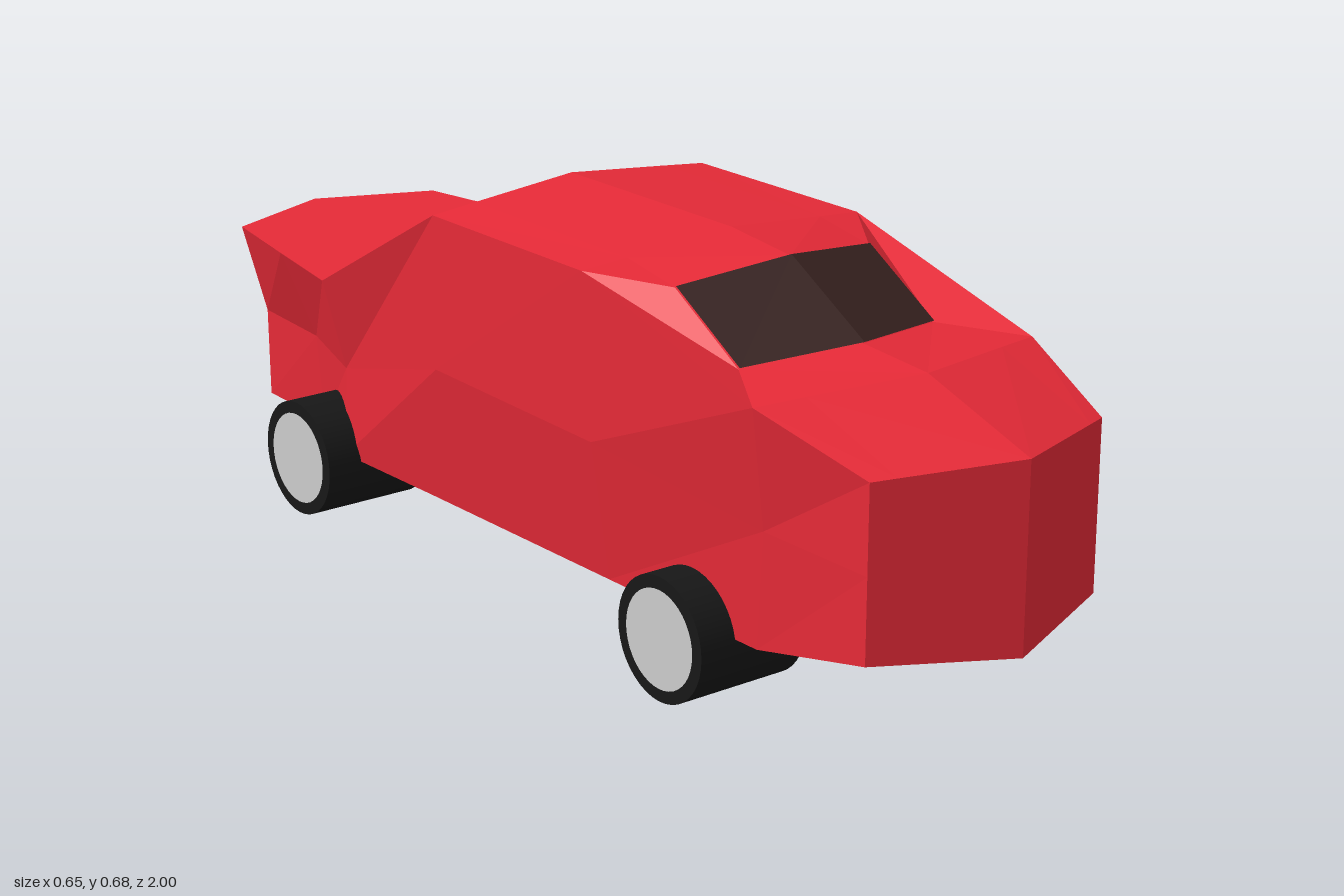
import * as THREE from 'three';

const paint = new THREE.MeshStandardMaterial({ color: 0xe62a37, flatShading: true });
const glass = new THREE.MeshStandardMaterial({ color: 0x36211f, flatShading: true, side: THREE.DoubleSide });
const rubber = new THREE.MeshStandardMaterial({ color: 0x171717 });
const metal = new THREE.MeshStandardMaterial({ color: 0xc8c8c8 });

// Half sections, nose to tail: centre top, upper panel, shoulder, waist, sill, centre bottom
const noseLower = [[0.293, 0.54, 0.7], [0.26, 0.33, 0.69], [0.253, 0.125, 0.67], [0, 0.103, 0.74]];
const cabinLower = [[0.293, 0.655, 0.27], [0.29, 0.37, 0.29], [0.253, 0.122, 0.29], [0, 0.095, 0.28]];
const shieldBase = [[0, 0.565, 0.62], [0.205, 0.547, 0.56]];
const shieldTop = [[0, 0.668, 0.44], [0.205, 0.642, 0.4]];

// The sill ahead of the rear wheel is tucked in by a different amount on each side
const halfSections = (sill) => [
  [[0, 0.48, 1], [0.2, 0.472, 0.926], [0.242, 0.47, 0.91], [0.242, 0.32, 0.91], [0.242, 0.175, 0.91], [0, 0.157, 1]],
  [[0, 0.555, 0.77], [0.205, 0.545, 0.721], ...noseLower],
  [...shieldBase, ...noseLower],
  [...shieldTop, ...cabinLower],
  [[0, 0.683, 0.29], [0.205, 0.663, 0.276], ...cabinLower],
  [[0, 0.684, -0.15], [0.205, 0.664, -0.15], [0.293, 0.655, -0.15], [0.293, 0.38, -0.15], [sill, 0.118, -0.22], [0, 0.085, -0.22]],
  [[0, 0.455, -0.55], [0.205, 0.455, -0.522], [0.293, 0.455, -0.51], [0.247, 0.28, -0.51], [sill, 0.114, -0.51], [0, 0.085, -0.52]],
  [[0, 0.455, -0.78], [0.18, 0.455, -0.73], [0.257, 0.455, -0.71], [0.185, 0.28, -0.71], [0.178, 0.112, -0.7], [0, 0.085, -0.75]],
  [[0, 0.455, -1], [0.16, 0.455, -0.934], [0.22, 0.455, -0.91], [0.17, 0.28, -0.91], [0.168, 0.11, -0.91], [0, 0.085, -1]],
];

// Triangles of one half, mirrored for side -1; collapsed ones are skipped
function halfMesh(name, material, triangles, side) {
  const positions = [];
  for (const points of triangles) {
    const [a, b, c] = points.map(([x, y, z]) => new THREE.Vector3(side * x, y, z));
    if (new THREE.Triangle(a, b, c).getArea() < 1e-6) continue;
    for (const p of side > 0 ? [a, b, c] : [a, c, b]) positions.push(p.x, p.y, p.z);
  }
  const geometry = new THREE.BufferGeometry();
  geometry.setAttribute('position', new THREE.Float32BufferAttribute(positions, 3));
  geometry.computeVertexNormals();
  const mesh = new THREE.Mesh(geometry, material);
  mesh.name = name;
  return mesh;
}

function makeBodyHalf(side, sill) {
  const sections = halfSections(sill);
  const triangles = [];
  // Skin between neighbouring sections
  for (let k = 0; k < sections.length - 1; k++) {
    for (let i = 0; i < 5; i++) {
      const a = sections[k][i], b = sections[k + 1][i];
      const c = sections[k + 1][i + 1], d = sections[k][i + 1];
      triangles.push([a, d, c], [a, c, b]);
    }
  }
  // Nose and tail panels
  const nose = sections[0], tail = sections[sections.length - 1];
  for (let i = 1; i < 5; i++) {
    triangles.push([nose[0], nose[i + 1], nose[i]], [tail[0], tail[i], tail[i + 1]]);
  }
  return halfMesh('bodyHalf', paint, triangles, side);
}

// Folded pane, lifted slightly off the body; corners run front to back
function makeWindow(name, front, back, lift) {
  const raise = ([x, y, z]) => [x, y + 0.003, z + lift];
  const [a, d] = front.map(raise), [b, c] = back.map(raise);
  const pane = new THREE.Group();
  pane.name = name;
  for (const side of [1, -1]) pane.add(halfMesh('paneHalf', glass, [[a, d, b], [d, c, b]], side));
  return pane;
}

function makeWheel(name, side, z) {
  const wheel = new THREE.Group();
  wheel.name = name;
  const tyre = new THREE.Mesh(new THREE.CylinderGeometry(0.107, 0.107, 0.214, 40), rubber);
  tyre.name = 'tyre';
  tyre.rotation.z = Math.PI / 2;
  const hub = new THREE.Mesh(new THREE.CircleGeometry(0.085, 40), metal);
  hub.name = 'hub';
  hub.rotation.y = side * Math.PI / 2;
  hub.position.x = side * 0.108;
  wheel.add(tyre, hub);
  wheel.position.set(side * 0.215, 0.107, z);
  return wheel;
}

export function createModel() {
  const car = new THREE.Group();
  car.name = 'car';
  const body = new THREE.Group();
  body.name = 'body';
  body.add(makeBodyHalf(1, 0.165), makeBodyHalf(-1, 0.253));
  car.add(
    body,
    makeWindow('windshield', shieldBase, shieldTop, 0.003),
    makeWindow('rearWindow', [[0, 0.656, -0.194], [0.245, 0.645, -0.176]], [[0, 0.474, -0.527], [0.245, 0.484, -0.477]], -0.003),
  );
  for (const [label, side] of [['Left', 1], ['Right', -1]]) {
    car.add(makeWheel(`front${label}Wheel`, side, 0.512), makeWheel(`rear${label}Wheel`, side, -0.565));
  }
  return car;
}
